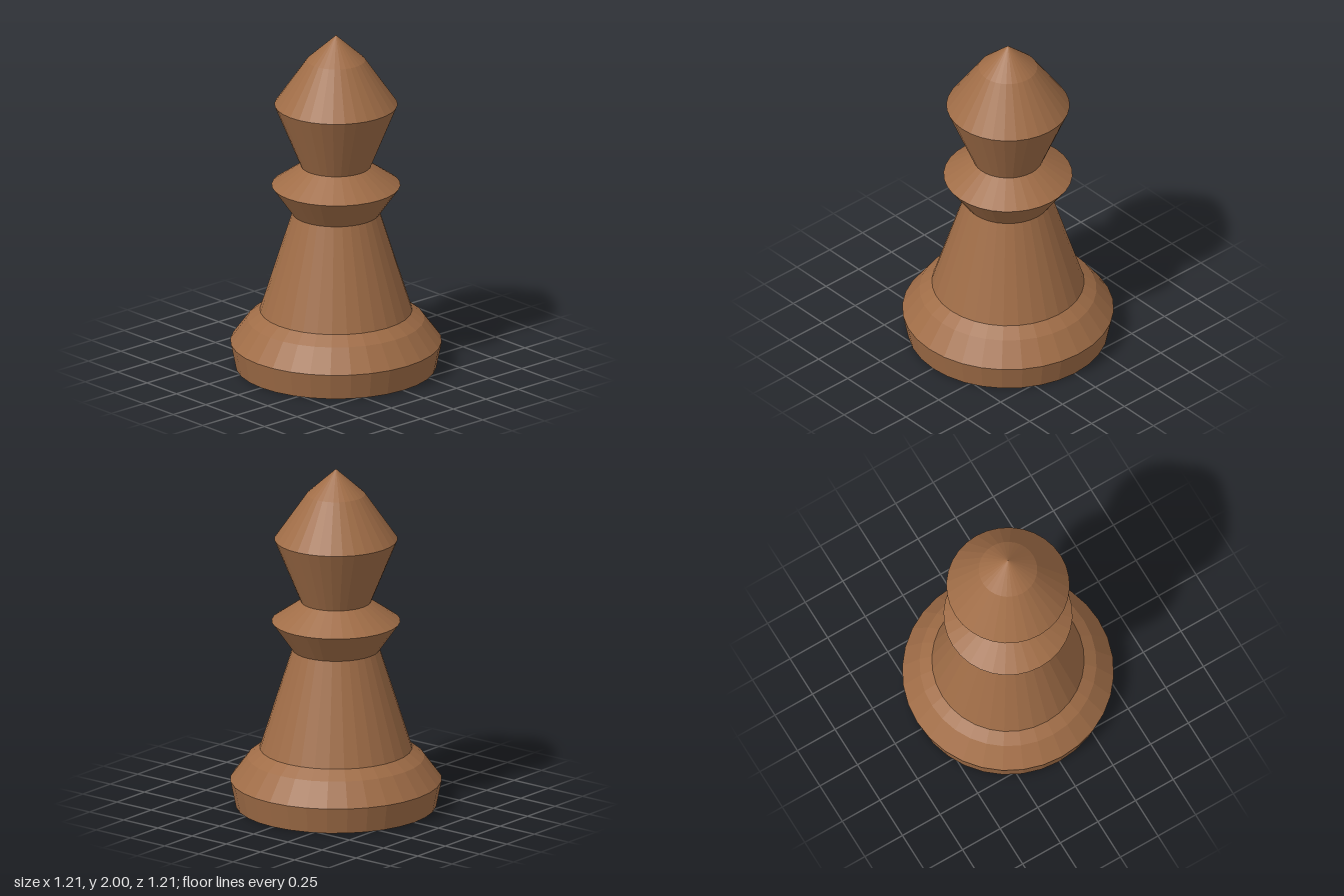
import * as THREE from 'three';

const SIDES = 32;

export function createModel() {
  const group = new THREE.Group();
  group.name = 'chessPiece';

  const wood = new THREE.MeshStandardMaterial({ color: 0xa06d47, flatShading: true });
  wood.name = 'brown wood';

  // Each part is turned from [radius, height] points, listed bottom to top
  const turn = (name, profile) => {
    const points = profile.map(([r, y]) => new THREE.Vector2(r, y));
    const mesh = new THREE.Mesh(new THREE.LatheGeometry(points, SIDES), wood);
    mesh.name = name;
    group.add(mesh);
  };

  // Wide foot with a closed underside and bevelled shoulder
  turn('base', [[0, 0], [0.573, 0], [0.604, 0.153], [0.505, 0.287], [0.435, 0.34]]);
  // Tapered stem
  turn('stem', [[0.435, 0.34], [0.25, 0.927]]);
  // Double-cone ring
  turn('collar', [[0.25, 0.927], [0.368, 1.095], [0.2, 1.212]]);
  // Flared head ending in a point
  turn('head', [[0.2, 1.212], [0.352, 1.583], [0.167, 1.85], [0, 2]]);

  return group;
}
